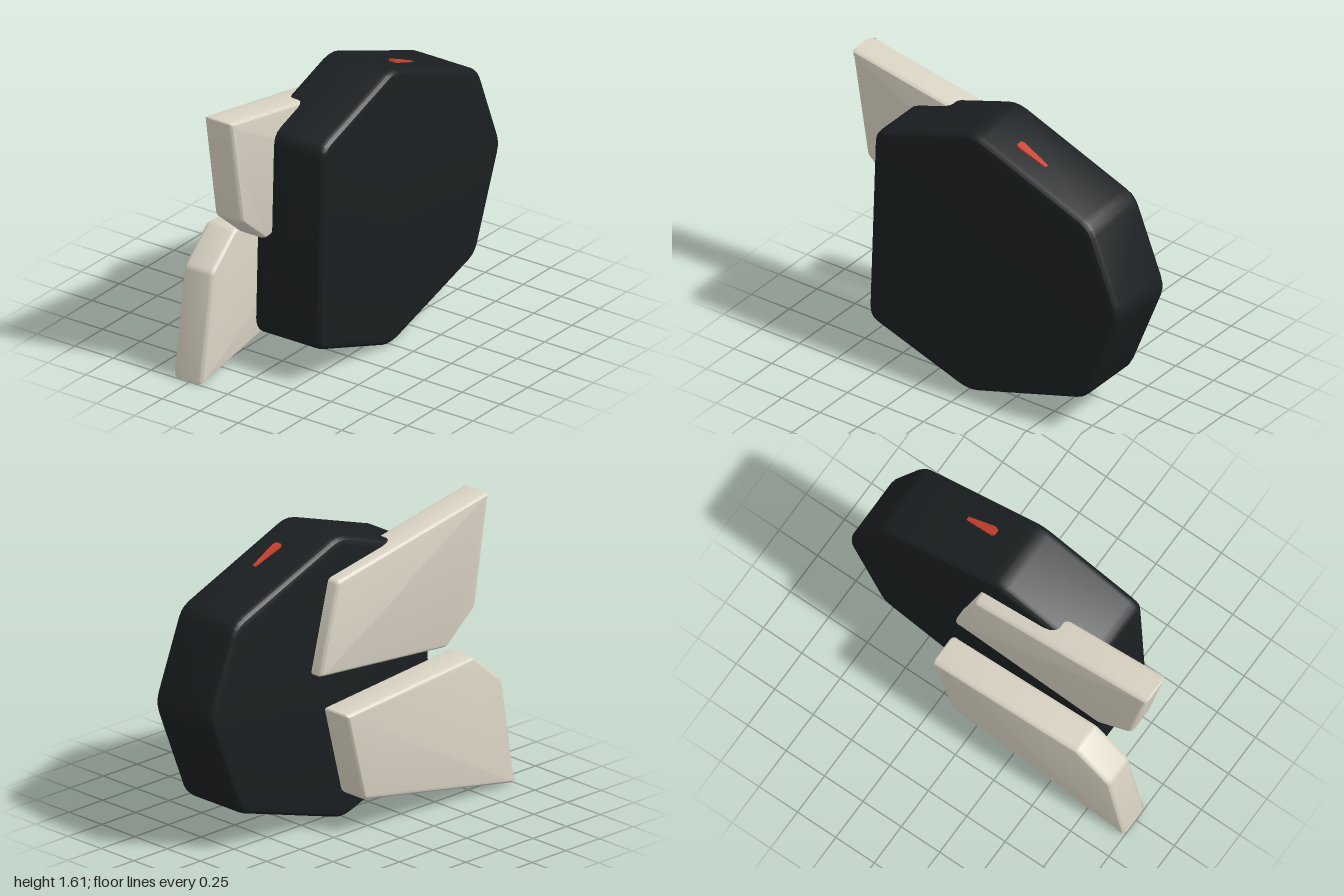
import * as THREE from 'three';
import { toCreasedNormals } from 'three/addons/utils/BufferGeometryUtils.js';

// Polygon whose corners are softened by cutting them back and curving across
function roundedShape(points, cut) {
  const pts = points.map(([x, y]) => new THREE.Vector2(x, y));
  const shape = new THREE.Shape();
  pts.forEach((p, i) => {
    const before = pts[(i + pts.length - 1) % pts.length];
    const after = pts[(i + 1) % pts.length];
    const a = p.clone().add(before.clone().sub(p).setLength(cut));
    const b = p.clone().add(after.clone().sub(p).setLength(cut));
    if (i === 0) shape.moveTo(a.x, a.y);
    else shape.lineTo(a.x, a.y);
    shape.quadraticCurveTo(p.x, p.y, b.x, b.y);
  });
  shape.closePath();
  return shape;
}

// Bevelled slab filling the outline between two depths
function slab(name, points, z0, z1, cut, bevel, color) {
  const geometry = new THREE.ExtrudeGeometry(roundedShape(points, cut), {
    depth: z1 - z0 - 2 * bevel,
    bevelThickness: bevel,
    bevelSize: bevel * 0.9,
    bevelOffset: -bevel * 0.9,
    bevelSegments: 3,
    curveSegments: 3,
  });
  geometry.translate(0, 0, z0 + bevel);
  const mesh = new THREE.Mesh(
    toCreasedNormals(geometry, 0.5),
    new THREE.MeshStandardMaterial({ color })
  );
  mesh.name = name;
  return mesh;
}

export function createModel() {
  const group = new THREE.Group();
  group.name = 'model';

  // Thick seven-sided body
  const bodyOutline = [
    [-0.658, 0.222], [0, -0.008], [0.775, 0.226], [1.005, 0.81],
    [0.808, 1.314], [0.03, 1.62], [-0.618, 1.4],
  ];
  group.add(slab('body', bodyOutline, -0.08, 0.36, 0.065, 0.045, 0x1b1f21));

  // Two mirrored fins, stacked in depth behind the body
  const finOutline = [
    [-1.003, 0.002], [0.125, 0.21], [0.255, 0.725], [-0.69, 0.808], [-0.902, 0.628],
  ];
  const upperOutline = finOutline.map(([x, y]) => [x, 1.612 - y]).reverse();
  const cream = 0xd9d3c3;
  group.add(slab('lowerFin', finOutline, -0.36, -0.165, 0.02, 0.03, cream));
  group.add(slab('upperFin', upperOutline, -0.157, 0.032, 0.02, 0.03, cream));

  // Small tapered marker sunk into the upper right slope
  const markerOutline = [
    [-0.1, -0.018], [-0.08, -0.027], [0.1, -0.011], [0.1, 0.011], [-0.08, 0.027], [-0.1, 0.018],
  ];
  const markerShape = new THREE.Shape(markerOutline.map(([x, y]) => new THREE.Vector2(x, y)));
  const markerGeometry = new THREE.ExtrudeGeometry(markerShape, { depth: 0.04, bevelEnabled: false });
  markerGeometry.rotateX(-Math.PI / 2);
  const marker = new THREE.Mesh(
    markerGeometry,
    new THREE.MeshStandardMaterial({ color: 0xc8402c })
  );
  marker.name = 'marker';
  marker.position.set(0.302, 1.479, 0.195);
  marker.rotation.z = -0.415;
  group.add(marker);

  return group;
}
